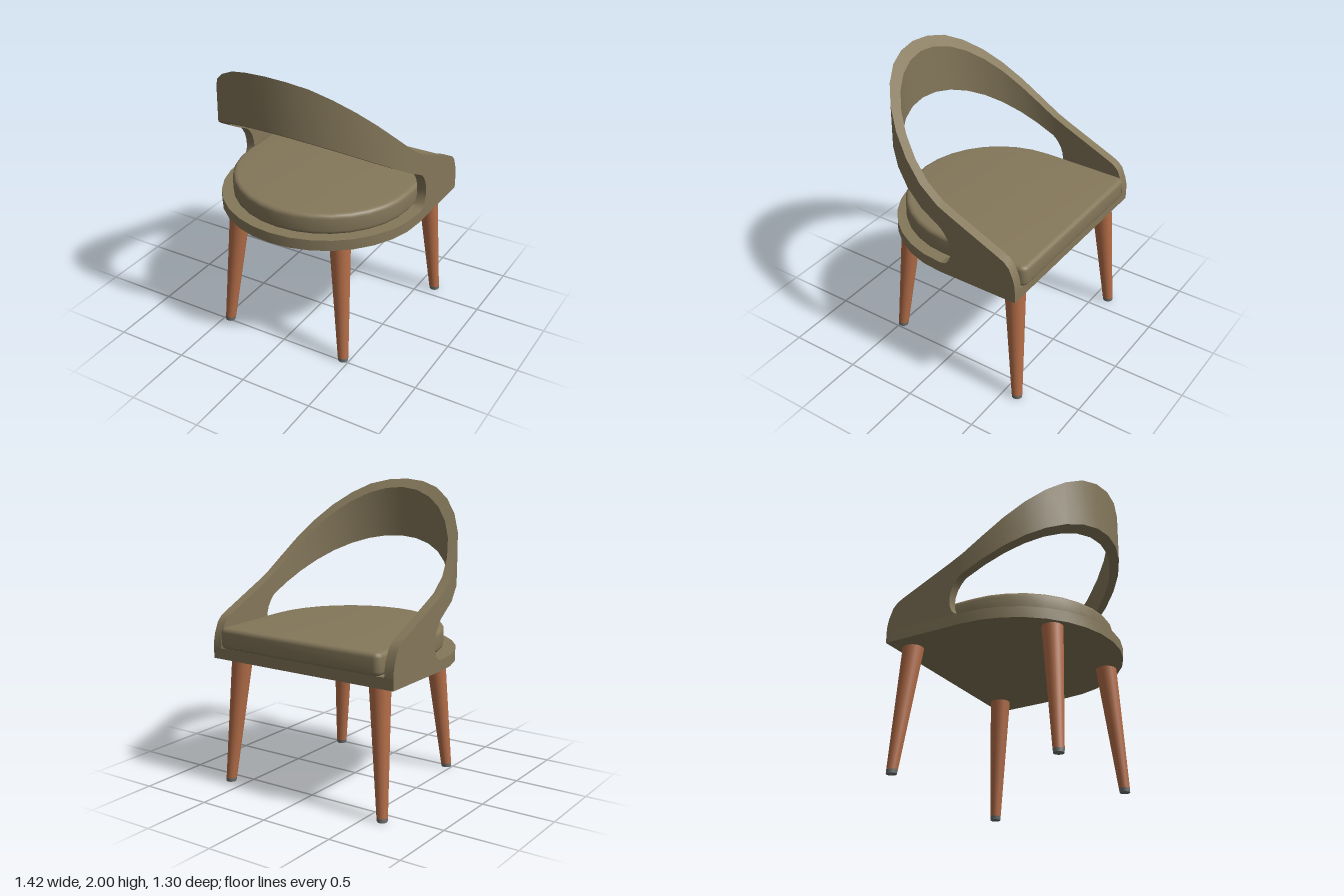
import * as THREE from 'three';
import { mergeGeometries, toCreasedNormals } from 'three/addons/utils/BufferGeometryUtils.js';

const OUTER = 0.71, INNER = 0.645, ARC_Z = -0.06, FRONT_Z = -0.63;
const SLAB_BOTTOM = 0.86, SLAB_TOP = 0.935;

// Side outline of the shell as [z, y] points
const TOP_EDGE = [[-0.63, 0.935], [-0.627, 0.98], [-0.615, 1.03], [-0.585, 1.1], [-0.55, 1.135], [-0.5, 1.16],
  [-0.154, 1.315], [-0.06, 1.36], [0, 1.4], [0.07, 1.45], [0.154, 1.52], [0.35, 1.71], [0.6, 1.96], [0.65, 2]];
const UNDER_EDGE = [[-0.148, 1.05], [-0.143, 1.09], [-0.128, 1.135], [-0.106, 1.17], [-0.08, 1.2], [-0.04, 1.23],
  [0.085, 1.29], [0.244, 1.385], [0.456, 1.52], [0.65, 1.645]];
const FILLET_EDGE = [[-0.148, 1.05], [-0.145, 1.01], [-0.127, 0.963], [-0.105, 0.943], [-0.07, SLAB_TOP]];

// Linear interpolation along an outline
function heightAt(edge, z) {
  let i = 1;
  while (i < edge.length - 1 && z > edge[i][0]) i++;
  const [z0, y0] = edge[i - 1], [z1, y1] = edge[i];
  return y0 + (y1 - y0) * THREE.MathUtils.clamp((z - z0) / (z1 - z0), 0, 1);
}

// A station is an outer and an inner plan point of the U-shaped wall
const sideStation = (z) => ({ o: [OUTER, z], i: [INNER, z] });
const arcStation = (a) => ({
  o: [OUTER * Math.cos(a), ARC_Z + OUTER * Math.sin(a)],
  i: [INNER * Math.cos(a), ARC_Z + INNER * Math.sin(a)],
});
const mirror = (list) => list.map(({ o, i }) => ({ o: [-o[0], o[1]], i: [-i[0], i[1]] })).reverse();

// Loft a four-cornered wall section along the stations
function wallStrip(stations, low, high) {
  const pos = [], index = [];
  for (const { o, i } of stations) {
    pos.push(o[0], low(o[1]), o[1], o[0], high(o[1]), o[1], i[0], high(i[1]), i[1], i[0], low(i[1]), i[1]);
  }
  for (let s = 0; s < stations.length - 1; s++) {
    for (let k = 0; k < 4; k++) {
      const a = s * 4 + k, b = s * 4 + (k + 1) % 4, c = b + 4, d = a + 4;
      index.push(a, b, c, a, c, d);
    }
  }
  const geo = new THREE.BufferGeometry();
  geo.setAttribute('position', new THREE.Float32BufferAttribute(pos, 3));
  geo.setIndex(index);
  return geo;
}

function shellGeometry() {
  const top = (z) => heightAt(TOP_EDGE, z);
  const under = (z) => heightAt(UNDER_EDGE, z);
  const fillet = (z) => heightAt(FILLET_EDGE, z);
  const base = () => SLAB_TOP;
  const arm = [-0.63, -0.627, -0.615, -0.585, -0.55, -0.5, -0.154, -0.148].map(sideStation);
  const foot = FILLET_EDGE.map(([z]) => sideStation(z));
  const bend = [-0.148, -0.143, -0.128, -0.106, -0.08].map(sideStation);
  const arc = Array.from({ length: 17 }, (_, n) => arcStation(n * Math.PI / 16));
  const strips = [wallStrip([...bend, ...arc, ...mirror(bend)], under, top)];
  for (const side of [(l) => l, mirror]) {
    strips.push(wallStrip(side(arm), base, top), wallStrip(side(foot), base, fillet));
  }
  return toCreasedNormals(mergeGeometries(strips), 0.6);
}

// D-shaped plan: straight front with rounded corners, half circle behind
function planShape(radius, frontZ, arcZ, corner) {
  const pts = [];
  const arc = (x, z, r, from, to, n) => {
    for (let k = 0; k <= n; k++) {
      const a = from + (to - from) * k / n;
      pts.push(new THREE.Vector2(x + r * Math.cos(a), z + r * Math.sin(a)));
    }
  };
  arc(0, arcZ, radius, 0, Math.PI, 16);
  if (corner) {
    arc(-radius + corner, frontZ + corner, corner, Math.PI, Math.PI * 1.5, 4);
    arc(radius - corner, frontZ + corner, corner, Math.PI * 1.5, Math.PI * 2, 4);
  } else {
    pts.push(new THREE.Vector2(-radius, frontZ), new THREE.Vector2(radius, frontZ));
  }
  return new THREE.Shape(pts);
}

// Tapered round piece whose ends stay level while its axis leans
function leaningTaper(bottom, top, rBottom, rTop) {
  const h = top.y - bottom.y;
  const geo = new THREE.CylinderGeometry(rTop, rBottom, h, 20);
  const p = geo.attributes.position;
  for (let n = 0; n < p.count; n++) {
    const t = p.getY(n) / h + 0.5;
    p.setXYZ(n, p.getX(n) + THREE.MathUtils.lerp(bottom.x, top.x, t), bottom.y + t * h,
      p.getZ(n) + THREE.MathUtils.lerp(bottom.z, top.z, t));
  }
  geo.computeVertexNormals();
  return toCreasedNormals(geo, 0.6);
}

export function createModel() {
  const material = (name, color) => {
    const m = new THREE.MeshStandardMaterial({ color });
    m.name = name;
    return m;
  };
  const fabric = material('olive upholstery', 0x84775a);
  const wood = material('warm wood', 0xb36d48);
  const metal = material('grey metal', 0x6e7070);

  const chair = new THREE.Group();
  chair.name = 'chair';
  const add = (name, geo, mat, parent = chair) => {
    const mesh = new THREE.Mesh(geo, mat);
    mesh.name = name;
    parent.add(mesh);
    return mesh;
  };

  // Seat base
  const slab = new THREE.ExtrudeGeometry(planShape(OUTER, FRONT_Z, ARC_Z, 0),
    { depth: SLAB_TOP - SLAB_BOTTOM, bevelEnabled: false });
  slab.rotateX(Math.PI / 2).translate(0, SLAB_TOP, 0);
  add('seatBase', toCreasedNormals(slab, 0.6), fabric);

  // Arms and backrest in one sweeping shell
  add('backrestShell', shellGeometry(), fabric);

  // Cushion with rounded rims, set slightly off centre
  const bevel = 0.03, thick = 0.145;
  const cushion = new THREE.ExtrudeGeometry(planShape(0.63 - bevel, -0.655 + bevel, -0.045, 0.015),
    { depth: thick - 2 * bevel, bevelSize: bevel, bevelThickness: bevel, bevelSegments: 4 });
  cushion.rotateX(Math.PI / 2).translate(0.01, SLAB_TOP + thick - bevel, 0);
  add('seatCushion', toCreasedNormals(cushion, 0.6), fabric);

  // Splayed legs with metal tips: [name, top x, top z, foot x, foot z]
  const legs = [['backLeg', 0.385, 0.415, 0.457, 0.485], ['frontLeg', 0.55, -0.528, 0.617, -0.598]];
  for (const [name, tx, tz, fx, fz] of legs) {
    for (const s of [1, -1]) {
      const leg = new THREE.Group();
      leg.name = name + (s > 0 ? 'Left' : 'Right');
      const top = new THREE.Vector3(s * tx, SLAB_BOTTOM, tz);
      const foot = new THREE.Vector3(s * fx, 0, fz);
      const joint = foot.clone().lerp(top, 0.03);
      add('legShaft', leaningTaper(joint, top, 0.036, 0.07), wood, leg);
      add('legTip', leaningTaper(foot, joint, 0.034, 0.036), metal, leg);
      chair.add(leg);
    }
  }
  return chair;
}
